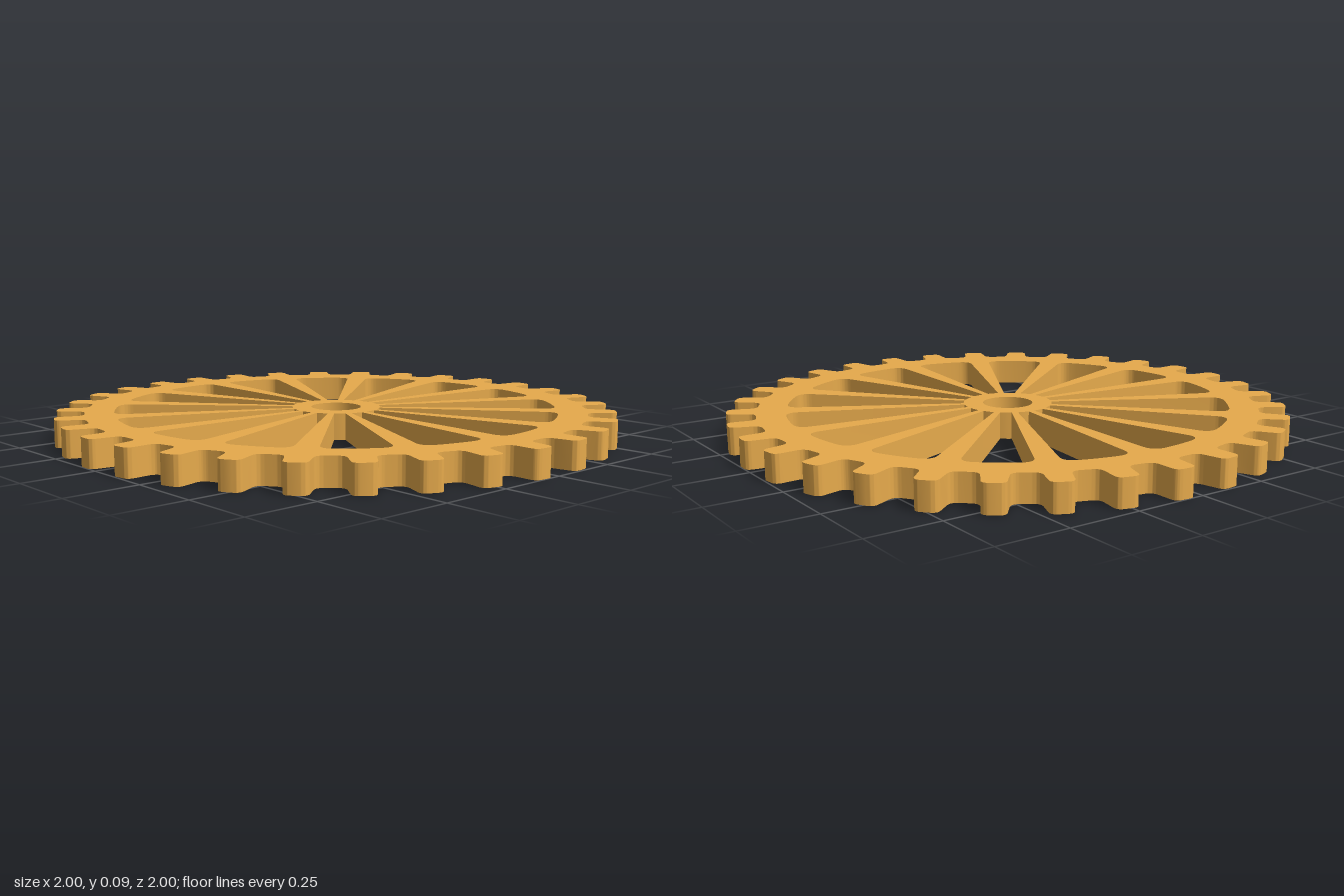
import * as THREE from 'three';
import { toCreasedNormals } from 'three/addons/utils/BufferGeometryUtils.js';

const TEETH = 32, SPOKES = 16, HEIGHT = 0.095;
const START = THREE.MathUtils.degToRad(3.8); // first tooth and first spoke share this direction
const HUB_R = 0.16, BORE_R = 0.09, RIM_R = 0.795, ROOT_R = 0.897;

// Point at distance r along direction a (clockwise from the back), shifted sideways by w
const at = (a, r, w = 0) => new THREE.Vector2(
  Math.sin(a) * r + Math.cos(a) * w,
  Math.cos(a) * r - Math.sin(a) * w);

// Closed outline through corners [point, fillet]; a fillet of 0 leaves the corner sharp
function roundedOutline(path, corners) {
  const n = corners.length;
  corners.forEach(([p, f], i) => {
    const prev = corners[(i + n - 1) % n][0], next = corners[(i + 1) % n][0];
    const toward = (q) => p.clone().add(q.clone().sub(p).setLength(f));
    const a = f ? toward(prev) : p;
    if (i) path.lineTo(a.x, a.y); else path.moveTo(a.x, a.y);
    if (f) {
      const b = toward(next);
      path.quadraticCurveTo(p.x, p.y, b.x, b.y);
    }
  });
  path.closePath();
  return path;
}

// Toothed outer edge, wound counterclockwise so the hole walls face into the openings
function toothedShape() {
  const corners = [];
  for (let i = 0; i < TEETH; i++) {
    const a = START + i * Math.PI * 2 / TEETH;
    corners.push(
      [at(a, ROOT_R, -0.044), 0.028], [at(a, 1, -0.037), 0.024],
      [at(a, 1, 0.037), 0.024], [at(a, ROOT_R, 0.044), 0.028]);
  }
  return roundedOutline(new THREE.Shape(), corners.reverse());
}

// Opening between two tapered spokes
function opening(i) {
  const step = Math.PI * 2 / SPOKES;
  const a = START + i * step, b = a + step;
  const outer = 0.04, inner = 0.011;
  const corners = [[at(a, HUB_R, inner), 0], [at(a, RIM_R - 0.003, outer), 0.045]];
  for (let k = 0; k <= 6; k++) // rim arc
    corners.push([at(a + step * (0.29 + 0.42 * k / 6), RIM_R), 0]);
  corners.push([at(b, RIM_R - 0.003, -outer), 0.045], [at(b, HUB_R, -inner), 0]);
  corners.push([at(a + step * 0.6, HUB_R), 0], [at(a + step * 0.4, HUB_R), 0]); // hub arc
  return roundedOutline(new THREE.Path(), corners);
}

export function createModel() {
  const model = new THREE.Group();
  model.name = 'spokedGear';

  const shape = toothedShape();
  for (let i = 0; i < SPOKES; i++) shape.holes.push(opening(i));

  // Axle bore
  const bore = new THREE.Path();
  bore.absarc(0, 0, BORE_R, 0, Math.PI * 2, true);
  shape.holes.push(bore);

  const flat = new THREE.ExtrudeGeometry(shape, { depth: HEIGHT, bevelEnabled: false, curveSegments: 16 });
  flat.rotateX(-Math.PI / 2);

  const gear = new THREE.Mesh(
    toCreasedNormals(flat, Math.PI / 5),
    new THREE.MeshStandardMaterial({ color: 0xe6aa4c }));
  gear.name = 'gearWheel';
  model.add(gear);
  return model;
}
